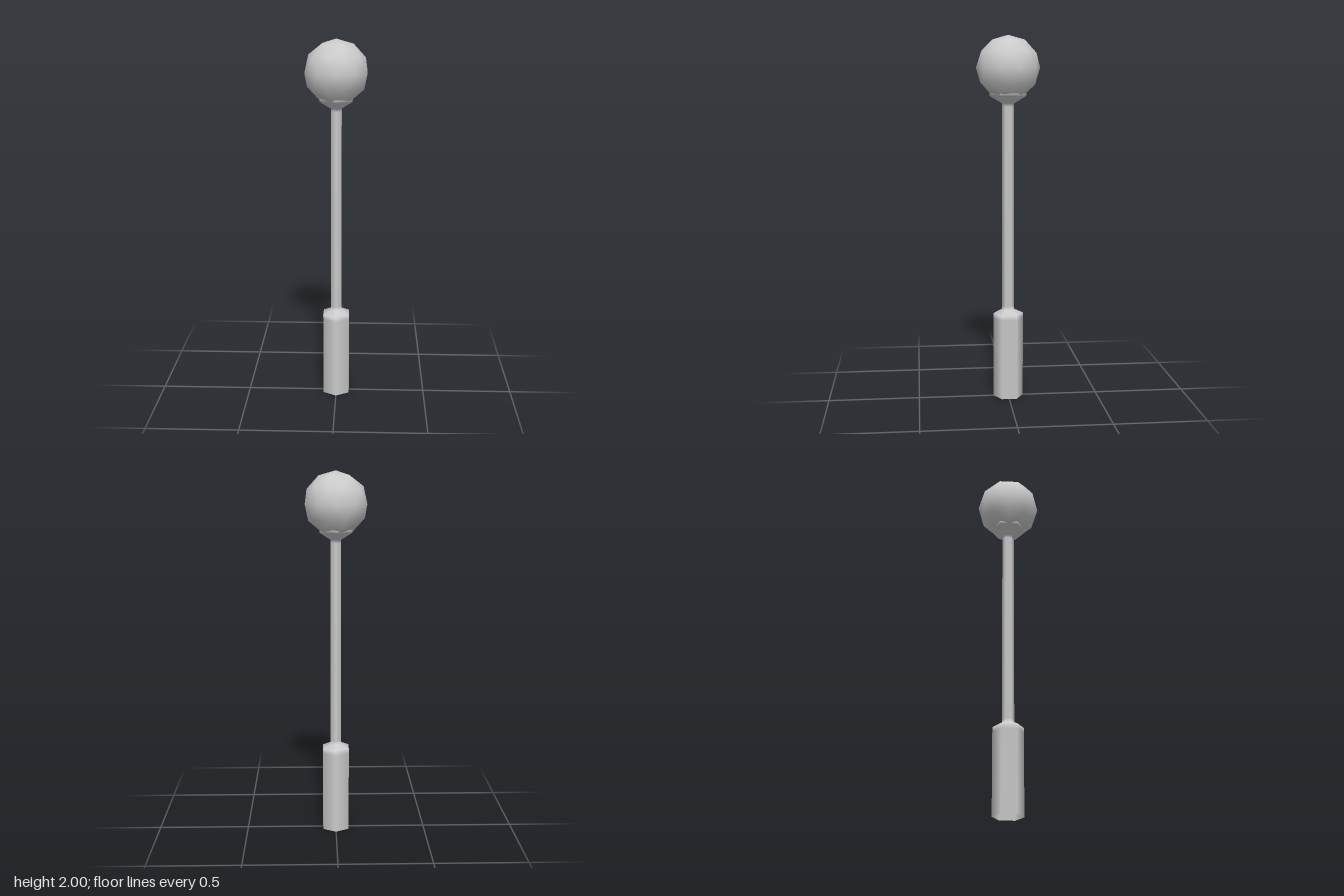
import * as THREE from 'three';

export function createModel() {
  const group = new THREE.Group();
  const material = new THREE.MeshStandardMaterial({ color: 0xcccccc });
  const openMaterial = new THREE.MeshStandardMaterial({ color: 0xcccccc, side: THREE.DoubleSide });

  // Six-sided post: open-bottomed sleeve, shoulder, slim shaft and rimmed collar
  const profile = [
    [0.083, 0], [0.083, 0.45], [0.083, 0.477], [0.033, 0.5], [0.033, 0.52],
    [0.033, 1.62], [0.033, 1.637], [0.1, 1.677], [0.1, 1.692],
  ].map(([r, y]) => new THREE.Vector2(r, y));
  const post = new THREE.Mesh(new THREE.LatheGeometry(profile, 6), openMaterial);
  post.name = 'post';
  group.add(post);

  // Low-poly globe, turned so one corner points straight up
  const globeGeometry = new THREE.IcosahedronGeometry(0.173, 1);
  globeGeometry.rotateZ(-Math.atan(2 / (1 + Math.sqrt(5))));
  const globe = new THREE.Mesh(globeGeometry, material);
  globe.name = 'globe';
  globe.position.y = 1.827;
  group.add(globe);

  return group;
}
